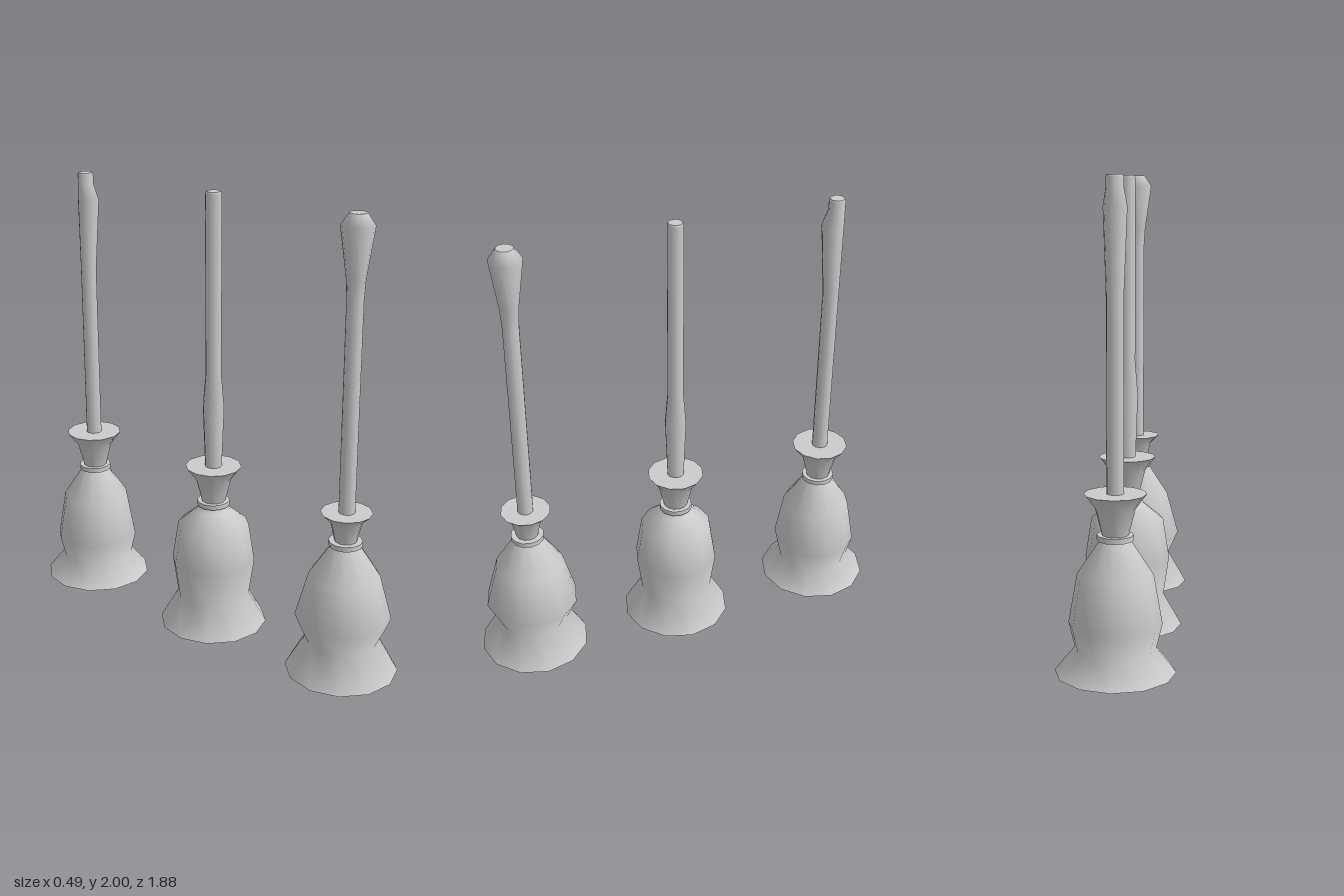
import * as THREE from 'three';
import { mergeGeometries } from 'three/addons/utils/BufferGeometryUtils.js';

const SIDES = 12;
const material = new THREE.MeshStandardMaterial({ color: 0xcccccc });

function lathe(points) {
  return new THREE.LatheGeometry(points.map(([r, y]) => new THREE.Vector2(r, y)), SIDES);
}

// Turned body with smooth sides and crisp flat ends
function cappedLathe(points) {
  const [r0, y0] = points[0];
  const [r1, y1] = points[points.length - 1];
  return mergeGeometries([
    lathe([[0, y0], [r0, y0]]),
    lathe(points),
    lathe([[r1, y1], [0, y1]]),
  ]);
}

function addPart(group, name, geometry) {
  const mesh = new THREE.Mesh(geometry, material);
  mesh.name = name;
  group.add(mesh);
  return mesh;
}

// Profiles are [radius, height]; bump is an optional forward swelling of the handle
const BROOMS = [
  {
    name: 'frontBroom', z: 0.7,
    bristles: [[0.245, 0], [0.16, 0.15], [0.207, 0.25], [0.152, 0.45], [0.06, 0.59]],
    collar: [[0.047, 0.605], [0.069, 0.70], [0.11, 0.74]],
    handle: [[0.035, 0.6], [0.035, 1.65], [0.04, 1.74], [0.07, 1.95], [0.036, 2]],
  },
  {
    name: 'middleBroom', z: 0.008,
    bristles: [[0.243, 0.01], [0.163, 0.15], [0.187, 0.32], [0.16, 0.495], [0.075, 0.565], [0.06, 0.59]],
    collar: [[0.052, 0.605], [0.08, 0.715], [0.125, 0.775]],
    handle: [[0.035, 0.6], [0.037, 0.775], [0.047, 1.05], [0.035, 1.2], [0.035, 1.99], [0.03, 2]],
  },
  {
    name: 'backBroom', z: -0.697,
    bristles: [[0.243, 0.05], [0.163, 0.15], [0.187, 0.25], [0.152, 0.45], [0.06, 0.59]],
    collar: [[0.052, 0.605], [0.08, 0.715], [0.125, 0.775]],
    handle: [[0.035, 0.6], [0.035, 1.56], [0.047, 1.88], [0.035, 1.95], [0.035, 1.99], [0.03, 2]],
    bump: { y: 1.88, shift: 0.013 },
  },
];

function createBroom({ name, z, bristles, collar, handle, bump }) {
  const broom = new THREE.Group();
  broom.name = name;
  broom.position.z = z;

  addPart(broom, 'bristles', cappedLathe(bristles));
  addPart(broom, 'collar', cappedLathe(collar));

  // Binding around the neck
  const binding = addPart(broom, 'binding', new THREE.CylinderGeometry(0.073, 0.073, 0.022, SIDES));
  binding.position.y = 0.599;

  // Handle, its swelling pushed forward so the back stays straight
  const shaft = cappedLathe(handle);
  if (bump) {
    const pos = shaft.attributes.position;
    for (let i = 0; i < pos.count; i++) {
      if (Math.abs(pos.getY(i) - bump.y) < 0.01) pos.setZ(i, pos.getZ(i) + bump.shift);
    }
  }
  addPart(broom, 'handle', shaft);
  return broom;
}

export function createModel() {
  const model = new THREE.Group();
  model.name = 'brooms';
  for (const spec of BROOMS) model.add(createBroom(spec));
  return model;
}
